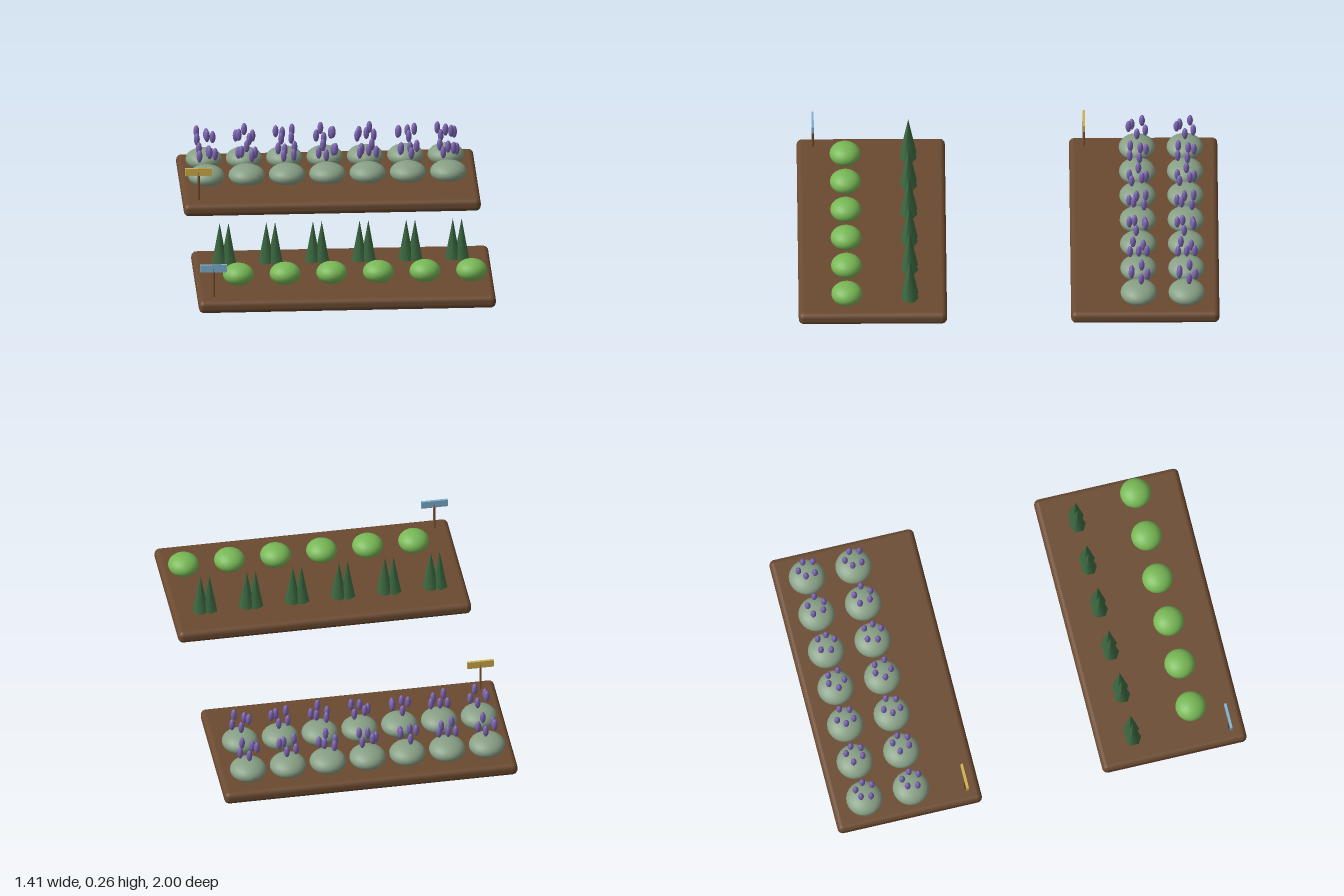
import * as THREE from 'three';
import { RoundedBoxGeometry } from 'three/addons/geometries/RoundedBoxGeometry.js';

const mat = (color) => new THREE.MeshStandardMaterial({ color });
const soil = mat(0x6b4a30);
const wood = mat(0x7a5233);
const leafGreen = mat(0x78b856);
const darkGreen = mat(0x3d6b42);
const sage = mat(0x88a086);
const purple = mat(0x7d65b5);
const blue = mat(0x7fb2d2);
const yellow = mat(0xd2b050);

const sphere = new THREE.SphereGeometry(1, 24, 16);
const bud = new THREE.SphereGeometry(1, 12, 8);
const spike = new THREE.ConeGeometry(0.04, 0.2, 6);
const BED_TOP = 0.062;

function add(parent, name, geometry, material, x, y, z) {
  const mesh = new THREE.Mesh(geometry, material);
  mesh.name = name;
  mesh.position.set(x, y, z);
  parent.add(mesh);
  return mesh;
}

// Soil bed with a small marker sign at its front left corner
function makeBed(name, z, signZ, signMaterial) {
  const bed = new THREE.Group();
  bed.name = name;
  add(bed, 'soil', new RoundedBoxGeometry(1.414, BED_TOP, 0.705, 4, 0.025), soil, 0, BED_TOP / 2, z);
  add(bed, 'signPost', new THREE.CylinderGeometry(0.006, 0.006, 0.15, 8), wood, -0.634, 0.13, signZ);
  add(bed, 'signBoard', new THREE.BoxGeometry(0.127, 0.037, 0.011), signMaterial, -0.634, 0.205, signZ);
  return bed;
}

// Sage mound with a ring of five floating flower heads
function makeLavender(parent, x, z, phase) {
  const plant = new THREE.Group();
  plant.name = 'lavenderPlant';
  plant.position.set(x, 0, z);
  add(plant, 'mound', sphere, sage, 0, 0.089, 0).scale.set(0.087, 0.05, 0.087);
  for (let j = 0; j < 5; j++) {
    const a = phase + (j * Math.PI * 2) / 5;
    const y = 0.198 + (j % 2) * 0.022;
    add(plant, 'flowerHead', bud, purple, 0.042 * Math.cos(a), y, 0.042 * Math.sin(a))
      .scale.set(0.014, 0.031, 0.014);
  }
  parent.add(plant);
}

export function createModel() {
  const model = new THREE.Group();
  model.name = 'gardenBeds';

  // Front bed: paired leaf spikes behind a row of round heads
  const front = makeBed('vegetableBed', 0.6475, 0.924, blue);
  for (let i = 0; i < 6; i++) {
    const x = -0.559 + i * 0.222;
    for (const side of [-1, 1]) {
      add(front, 'leafSpike', spike, darkGreen, x + side * 0.021, BED_TOP + 0.1, 0.47);
    }
    add(front, 'roundHead', sphere, leafGreen, x + 0.052, 0.115, 0.771).scale.set(0.074, 0.052, 0.074);
  }

  // Back bed: two rows of lavender
  const back = makeBed('lavenderBed', -0.6475, -0.366, yellow);
  for (const z of [-0.845, -0.617]) {
    for (let i = 0; i < 7; i++) makeLavender(back, -0.583 + i * 0.192, z, i);
  }

  model.add(front, back);
  return model;
}
